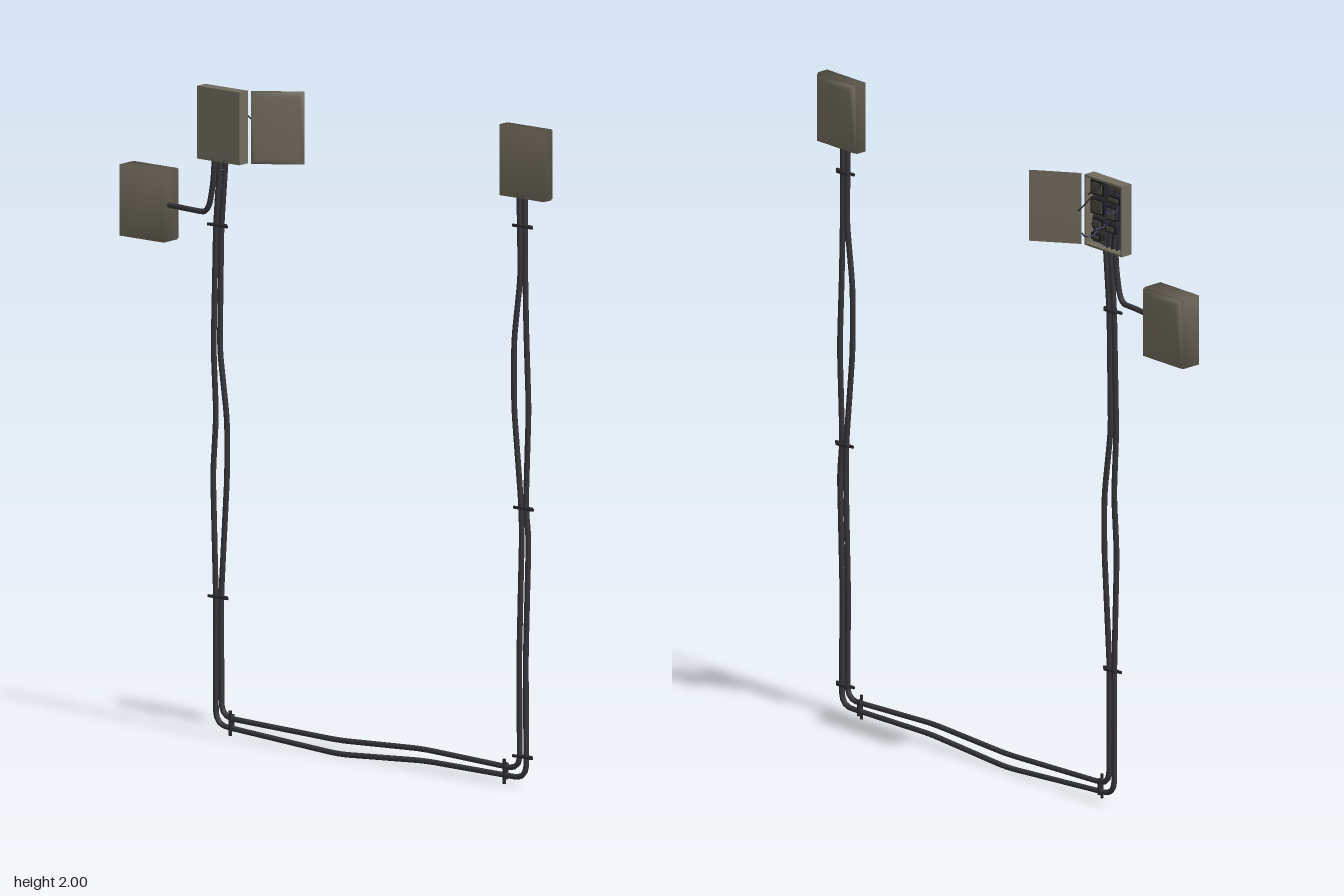
import * as THREE from 'three';

const mat = (name, color) => Object.assign(new THREE.MeshStandardMaterial({ color }), { name });

export function createModel() {
  const housing = mat('weathered housing', 0x716b5d);
  const cableGrey = mat('cable grey', 0x36353a);
  const clampDark = mat('clamp dark', 0x2c2b2e);
  const interior = mat('interior grey', 0x4e4a41);
  const component = mat('component black', 0x222225);
  const wireBlue = mat('wire blue', 0x2b2b4c);

  const model = new THREE.Group();
  model.name = 'cabledJunctionBoxes';

  const add = (parent, name, geometry, material, x = 0, y = 0, z = 0) => {
    const mesh = new THREE.Mesh(geometry, material);
    mesh.name = name;
    mesh.position.set(x, y, z);
    parent.add(mesh);
    return mesh;
  };
  const block = (parent, name, material, x0, x1, y0, y1, z0, z1) => add(parent, name,
    new THREE.BoxGeometry(x1 - x0, y1 - y0, z1 - z0), material,
    (x0 + x1) / 2, (y0 + y1) / 2, (z0 + z1) / 2);

  // Closed solid from rectangular sections [x, inset] stacked along +x
  const stack = (sections, height, width) => {
    const pos = [], index = [];
    for (const [x, inset] of sections) {
      const h = height / 2 - inset, w = width / 2 - inset;
      pos.push(x, h, w, x, -h, w, x, -h, -w, x, h, -w);
    }
    for (let i = 0; i < sections.length - 1; i++) {
      for (let j = 0; j < 4; j++) {
        const a = i * 4 + j, b = i * 4 + (j + 1) % 4;
        index.push(a, b, b + 4, a, b + 4, a + 4);
      }
    }
    const f = (sections.length - 1) * 4;
    index.push(f, f + 1, f + 2, f, f + 2, f + 3, 0, 2, 1, 0, 3, 2);
    const g = new THREE.BufferGeometry();
    g.setAttribute('position', new THREE.Float32BufferAttribute(pos, 3));
    g.setIndex(index);
    g.computeVertexNormals();
    return g;
  };

  // Tube along a polyline with rounded corners
  const tube = (parent, name, points, radius, bend, segments, material) => {
    const p = points.map(q => new THREE.Vector3(...q));
    const path = new THREE.CurvePath();
    let last = p[0];
    for (let i = 1; i < p.length - 1; i++) {
      const cut = q => p[i].clone().lerp(q, Math.min(0.48, bend / p[i].distanceTo(q)));
      const a = cut(p[i - 1]), b = cut(p[i + 1]);
      path.add(new THREE.LineCurve3(last, a));
      path.add(new THREE.QuadraticBezierCurve3(a, p[i], b));
      last = b;
    }
    path.add(new THREE.LineCurve3(last, p[p.length - 1]));
    return add(parent, name, new THREE.TubeGeometry(path, segments, radius, 8), material);
  };

  // Two closed boxes: body with a chamfered lid
  const closedBox = (name, front, y0, y1, z0, z1) => {
    const box = new THREE.Group();
    box.name = name;
    model.add(box);
    const y = (y0 + y1) / 2, z = (z0 + z1) / 2;
    add(box, 'body', stack([[-0.07, 0], [front, 0]], y1 - y0, z1 - z0), housing, 0, y, z);
    add(box, 'lid', stack([[front - 0.002, 0.003], [front + 0.008, 0.003], [front + 0.017, 0.018]],
      y1 - y0, z1 - z0), housing, 0, y, z);
  };
  closedBox('frontBox', -0.034, 1.785, 2.0, 0.642, 0.81);
  closedBox('rearBox', -0.005, 1.477, 1.693, -0.81, -0.642);

  // Open box: back plate, walls and swung door
  const open = new THREE.Group();
  open.name = 'openBox';
  model.add(open);
  const [Y0, Y1, Z0, Z1] = [1.748, 1.968, -0.515, -0.352];
  block(open, 'backPlate', housing, -0.07, -0.064, Y0, Y1, Z0, Z1);
  block(open, 'innerPanel', interior, -0.064, -0.06, Y0 + 0.006, Y1 - 0.006, Z0 + 0.006, Z1 - 0.006);
  block(open, 'topWall', housing, -0.064, -0.031, Y1 - 0.006, Y1, Z0, Z1);
  block(open, 'bottomWall', housing, -0.064, -0.031, Y0, Y0 + 0.006, Z0, Z1);
  block(open, 'rearWall', housing, -0.064, -0.031, Y0 + 0.006, Y1 - 0.006, Z0, Z0 + 0.006);
  block(open, 'frontWall', housing, -0.064, -0.031, Y0 + 0.006, Y1 - 0.006, Z1 - 0.006, Z1);

  const hinge = new THREE.Group();
  hinge.name = 'door';
  hinge.position.set(-0.028, (Y0 + Y1) / 2, -0.342);
  hinge.rotation.y = -2.517;
  open.add(hinge);
  add(hinge, 'doorPanel', stack([[0, 0], [0.006, 0], [0.013, 0.016]], Y1 - Y0, 0.158),
    housing, 0, 0, -0.079);

  // Switchgear inside the open box: [y0, y1, z0, z1]
  const parts = [
    [1.91, 1.955, -0.425, -0.368], [1.85, 1.9, -0.425, -0.368], [1.805, 1.838, -0.42, -0.375],
    [1.845, 1.89, -0.48, -0.435], [1.9, 1.925, -0.495, -0.44], [1.805, 1.832, -0.475, -0.43],
    [1.768, 1.79, -0.41, -0.37],
  ];
  parts.forEach(([a, b, c, d], i) => {
    block(open, 'switch' + (i + 1), component, -0.06, -0.042, a, b, c, d);
    block(open, 'switchFace' + (i + 1), interior, -0.042, -0.038, a + 0.007, b - 0.007, c + 0.008, d - 0.008);
  });

  // Loose wires curling out of the open box: [y, z, rise, drift]
  const wires = [
    [1.93, -0.49, 0.02, 0.012], [1.9, -0.475, -0.02, -0.015], [1.94, -0.435, 0.015, 0.015],
    [1.84, -0.425, -0.02, -0.012], [1.88, -0.39, 0.02, 0.012], [1.8, -0.385, -0.015, -0.008],
  ];
  wires.forEach(([y, z, r, d], i) => tube(open, 'looseWire' + (i + 1),
    [[-0.058, y, z], [-0.03, y + r, z + d], [-0.005, y + r, z - d * 0.4], [0.018, y - r * 0.5, z + d]],
    0.0022, 0.012, 20, i % 2 ? wireBlue : component));
  for (let i = 0; i < 3; i++) {
    const z = -0.43 - i * 0.022;
    tube(open, 'innerWire' + (i + 1), [[-0.05, 1.752, z], [-0.045, 1.8, z - 0.012],
      [-0.04, 1.86, z - 0.004], [-0.05, 1.945, z - 0.015]], 0.003, 0.03, 20, i % 2 ? component : wireBlue);
  }

  // Long cables running down, along the floor and up again: [y, z]
  const X = -0.062, R = 0.0085;
  const run = (name, pts, segments) =>
    tube(model, name, pts.map(([y, z, x = X]) => [x, y, z]), R, 0.045, segments, cableGrey);
  run('outerCable', [[1.8, 0.732], [1.55, 0.733], [1.38, 0.737], [1.15, 0.746], [0.85, 0.735], [0.76, 0.746],
    [0.4, 0.735], [0.03, 0.737], [0.035, 0.35], [0.013, 0.02], [0.043, -0.449],
    [0.43, -0.449], [0.8, -0.46], [0.98, -0.448], [1.18, -0.458], [1.55, -0.449], [1.76, -0.433]], 260);
  run('innerCable', [[1.8, 0.71], [1.55, 0.715], [1.35, 0.69], [1.15, 0.69], [0.85, 0.718], [0.76, 0.72],
    [0.4, 0.71], [0.055, 0.712], [0.07, 0.34], [0.055, 0.02], [0.069, -0.427],
    [0.43, -0.429], [0.8, -0.406], [0.97, -0.406], [1.18, -0.434], [1.55, -0.428], [1.76, -0.411]], 260);
  run('branchCable', [[1.76, -0.454], [1.68, -0.459], [1.588, -0.478], [1.588, -0.53], [1.588, -0.65, -0.045]], 60);

  // Wall clamps holding the cable pair: [y, z, turned]
  [[1.7, 0.727], [0.847, 0.73], [0.095, 0.727], [0.043, 0.657, 1],
    [0.055, -0.39, 1], [0.43, -0.437], [1.555, -0.439]].forEach(([y, z, turned], i) => {
    const clamp = new THREE.Group();
    clamp.name = 'clamp' + (i + 1);
    clamp.position.set(0, y, z);
    if (turned) clamp.rotation.x = Math.PI / 2;
    model.add(clamp);
    block(clamp, 'strip', clampDark, -0.07, -0.064, -0.004, 0.004, -0.038, 0.038);
    block(clamp, 'saddle', clampDark, -0.064, -0.052, -0.004, 0.004, -0.025, 0.025);
  });

  return model;
}
